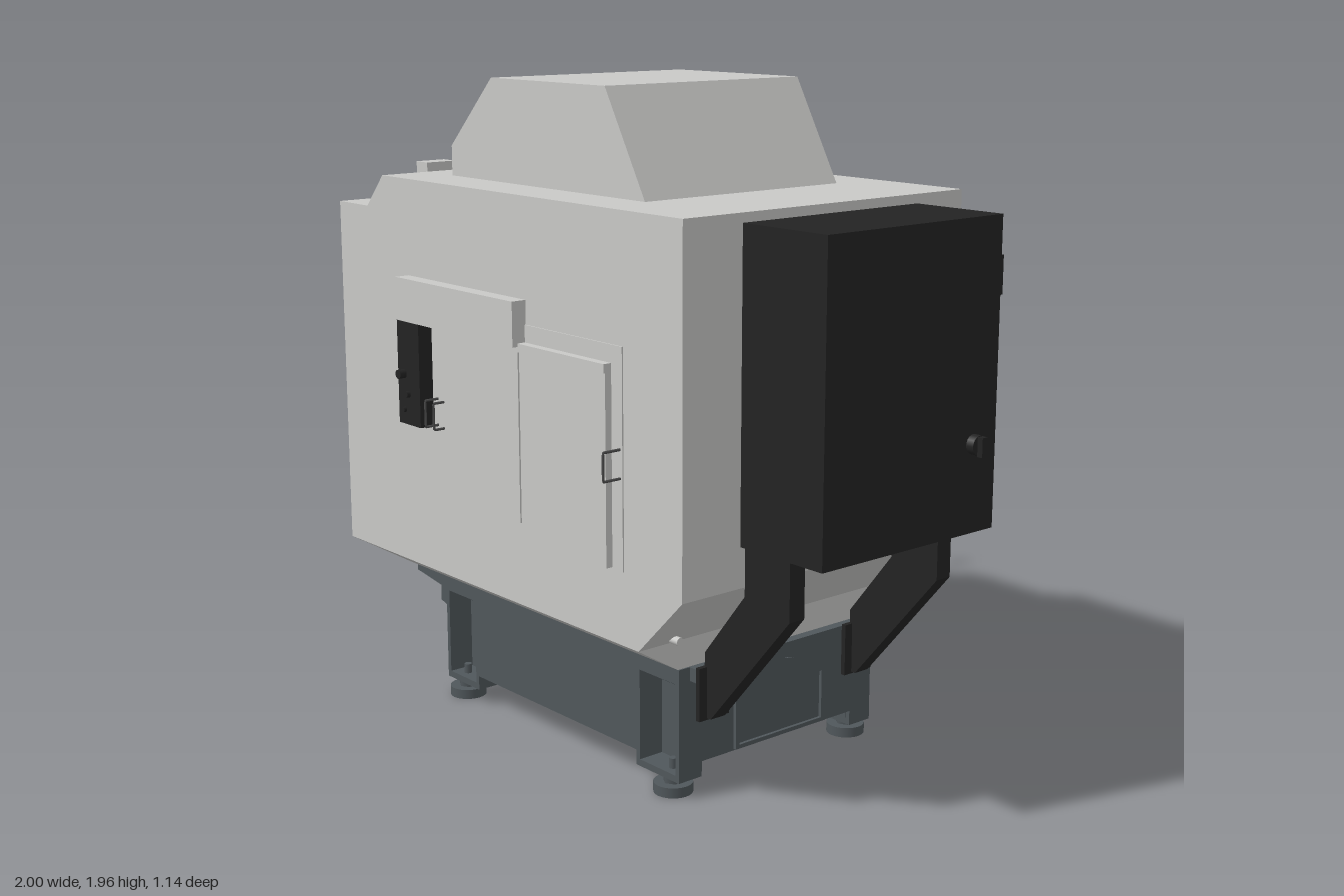
import * as THREE from 'three';

const mat = (name, color, side = THREE.FrontSide) => {
  const m = new THREE.MeshStandardMaterial({ color, side });
  m.name = name;
  return m;
};

export function createModel() {
  const grey = mat('light grey sheet metal', 0xc9c9c7, THREE.DoubleSide);
  const iron = mat('slate cast base', 0x50575b);
  const black = mat('black cabinet', 0x232323);
  const steel = mat('dark steel trim', 0x4a4a4a);
  const orange = mat('amber lamp', 0xcf8420);
  const root = new THREE.Group();
  root.name = 'machiningCentre';

  const add = (name, geo, material) => {
    const m = new THREE.Mesh(geo, material);
    m.name = name;
    root.add(m);
    return m;
  };
  // Box given by its limits on each axis
  const box = (name, material, x0, x1, y0, y1, z0, z1) =>
    add(name, new THREE.BoxGeometry(x1 - x0, y1 - y0, z1 - z0)
      .translate((x0 + x1) / 2, (y0 + y1) / 2, (z0 + z1) / 2), material);
  const cyl = (name, material, r0, r1, x, z, y0, y1, n = 20) =>
    add(name, new THREE.CylinderGeometry(r1, r0, y1 - y0, n).translate(x, (y0 + y1) / 2, z), material);
  const poly = (pts, holes = []) => {
    const s = new THREE.Shape(pts.map(p => new THREE.Vector2(...p)));
    for (const [a, b, c, d] of holes) {
      s.holes.push(new THREE.Path([[a, b], [a, d], [c, d], [c, b]].map(p => new THREE.Vector2(...p))));
    }
    return s;
  };
  // Outline in x,y drawn out along z
  const slab = (name, material, pts, z0, z1, holes) =>
    add(name, new THREE.ExtrudeGeometry(poly(pts, holes), { depth: z1 - z0, bevelEnabled: false })
      .translate(0, 0, z0), material);
  // Outline in z,y drawn out along x
  const sideSlab = (name, material, pts, x0, x1, holes) =>
    add(name, new THREE.ExtrudeGeometry(poly(pts, holes), { depth: x1 - x0, bevelEnabled: false })
      .rotateY(-Math.PI / 2).translate(x1, 0, 0), material);

  // Hollow enclosure: front and back sheets, wrapping skin and open left wall
  const outline = [[-1, 0.47], [0.46, 0.47], [0.64, 0.65], [0.64, 1.66], [-0.75, 1.66], [-0.84, 1.56], [-1, 1.56]];
  slab('enclosureFront', grey, outline, 0.47, 0.5);
  slab('enclosureBack', grey, outline, -0.545, -0.515);
  slab('enclosureSkin', grey, [...outline, [-1, 1.53], [-0.825, 1.53], [-0.735, 1.63], [0.61, 1.63],
    [0.61, 0.66], [0.45, 0.5], [-1, 0.5]], -0.515, 0.47);
  sideSlab('enclosureLeftWall', grey, [[-0.515, 0.5], [0.47, 0.5], [0.47, 1.53], [-0.515, 1.53]], -1, -0.97,
    [[-0.27, 0.505, 0.22, 1.38], [0.32, 0.58, 0.45, 0.67]]);
  box('leftShutter', grey, -0.99, -0.975, 0.5, 1.38, -0.27, -0.02);
  box('leftHatch', grey, -1.003, -1, 1.13, 1.36, 0.29, 0.47);

  // Sloping skirt under the enclosure
  const ring = (x0, y, z0, z1) => [[x0, y, z1], [0.46, y, z1], [0.46, y, z0], [x0, y, z0]];
  const top = ring(-1, 0.47, -0.545, 0.5), low = ring(-0.87, 0.385, -0.4, 0.36);
  const v = [];
  for (let i = 0; i < 4; i++) {
    const j = (i + 1) % 4;
    v.push(...low[i], ...low[j], ...top[j], ...low[i], ...top[j], ...top[i]);
  }
  const skirt = new THREE.BufferGeometry();
  skirt.setAttribute('position', new THREE.Float32BufferAttribute(v, 3));
  skirt.computeVertexNormals();
  add('skirt', skirt, grey);

  // Roof hood and its rear plate
  slab('roofHood', grey, [[-0.61, 1.66], [0.3, 1.66], [0.13, 1.96], [-0.4, 1.96], [-0.61, 1.75]], -0.385, 0.34);
  box('hoodRearPlate', grey, -0.47, -0.33, 1.7, 1.84, -0.39, -0.385);
  box('roofBox', grey, -0.965, -0.905, 1.56, 1.67, 0.13, 0.235);

  // Front door, frame and header
  slab('doorFrame', grey, [[-0.47, 0.68], [0.4, 0.68], [0.4, 1.3], [-0.47, 1.3]], 0.5, 0.504);
  box('frontDoor', grey, -0.44, 0.355, 0.685, 1.25, 0.504, 0.525);
  box('doorTopRail', grey, -0.03, 0.355, 1.225, 1.25, 0.525, 0.53);
  box('doorLeaf', grey, -0.41, -0.03, 0.73, 1.24, 0.525, 0.53);
  box('doorHeader', grey, -0.62, -0.03, 1.24, 1.37, 0.5, 0.547);
  // Rear service door with vent slots
  box('rearDoor', grey, -0.49, 0.4, 0.61, 1.27, -0.549, -0.545);
  for (let r = 0; r < 11; r++) {
    for (let c = 0; c < 4; c++) {
      const x = -0.29 + c * 0.045, y = 0.7 + r * 0.047;
      box('rearVentSlot', steel, x, x + 0.025, y, y + 0.005, -0.551, -0.549);
    }
  }
  // Bow handles
  const handle = (x, z, dir) => {
    const p = [[0.94, 0], [0.94, 0.036], [1.02, 0.036], [1.02, 0]].map(([y, d]) => new THREE.Vector3(x, y, z + dir * d));
    const path = new THREE.CurvePath();
    for (let i = 0; i < 3; i++) path.add(new THREE.LineCurve3(p[i], p[i + 1]));
    add('doorHandle', new THREE.TubeGeometry(path, 24, 0.004, 6), steel);
  };
  handle(-0.455, 0.504, 1.6);
  handle(-0.405, 0.53, 1);
  handle(0.39, 0.504, 1.6);
  handle(-0.38, -0.535, -1);
  handle(0.31, -0.535, -1);

  // Control panel with buttons
  box('controlPanel', black, -0.62, -0.505, 0.925, 1.24, 0.5, 0.547);
  for (const [x, y, r, d] of [[-0.588, 1.08, 0.014, 0.022], [-0.565, 1.02, 0.01, 0.012], [-0.585, 0.97, 0.008, 0.01]]) {
    add('controlButton', new THREE.CylinderGeometry(r, r, d, 14).rotateX(Math.PI / 2)
      .translate(x, y, 0.547 + d / 2), black);
  }

  // Electrical cabinet with cooler, latch and hinges
  box('cabinet', black, 0.65, 0.958, 0.77, 1.635, -0.35, 0.305);
  box('coolerHood', black, 0.69, 0.89, 1.4, 1.51, -0.44, -0.35);
  box('coolerBody', black, 0.71, 0.87, 1.02, 1.4, -0.4, -0.35);
  box('cabinetCableBlock', black, 0.83, 0.87, 0.75, 0.77, -0.1, 0.1);
  add('cabinetLatch', new THREE.CylinderGeometry(0.028, 0.028, 0.025, 20).rotateZ(Math.PI / 2)
    .translate(0.97, 1.02, -0.26), black);
  box('latchGrip', black, 0.982, 1, 0.99, 1.045, -0.27, -0.25);
  for (const z of [-0.31, 0.26]) box('cabinetHinge', black, 0.64, 0.65, 0.85, 1.55, z - 0.025, z + 0.025);
  // Cranked cabinet brackets
  for (const z of [0.265, -0.305]) {
    slab('cabinetBracket', black, [[0.495, 0.24], [0.52, 0.24], [0.828, 0.6], [0.828, 0.77], [0.655, 0.77],
      [0.655, 0.63], [0.495, 0.43]], z - 0.027, z + 0.027);
    box('bracketFlange', black, 0.49, 0.505, 0.235, 0.39, z - 0.055, z + 0.055);
  }
  // Bolts on the lower right slope
  for (const z of [0.39, -0.435]) {
    add('slopeBolt', new THREE.CylinderGeometry(0.012, 0.012, 0.04, 12).rotateZ(Math.PI / 2)
      .translate(0.485, 0.485, z), grey);
  }

  // Cast base: core and two side plates with pocketed legs
  box('baseCore', iron, -0.67, 0.465, 0.095, 0.385, -0.315, 0.275);
  const side = [[-0.67, 0.05], [-0.5, 0.05], [-0.5, 0.095], [0.28, 0.095], [0.28, 0.05], [0.465, 0.05],
    [0.465, 0.385], [-0.67, 0.385]];
  const pockets = [[-0.655, 0.07, -0.515, 0.34], [0.295, 0.07, 0.45, 0.34]];
  for (const [z0, z1, out] of [[0.275, 0.36, 1], [-0.4, -0.315, -1]]) {
    slab('baseSide', iron, side, z0, z1, pockets);
    const face = out > 0 ? z0 : z1;
    for (const [x0, , x1] of pockets) {
      // Pocket back wall and sloping roof
      box('pocketBack', iron, x0, x1, 0.07, 0.34, face - 0.003, face + 0.003);
      const roof = sideSlab('pocketRoof', iron, out > 0
        ? [[face, 0.29], [face + 0.075, 0.34], [face, 0.34]]
        : [[face, 0.29], [face, 0.34], [face - 0.075, 0.34]], x0, x1);
      roof.castShadow = false;
    }
    // Levelling feet
    const z = out > 0 ? 0.325 : -0.365;
    for (const x of [-0.61, 0.4]) {
      cyl('footStud', iron, 0.012, 0.012, x, z, 0.03, 0.1, 12);
      cyl('footNut', iron, 0.03, 0.03, x, z, 0.03, 0.05, 6);
      cyl('footPad', iron, 0.057, 0.057, x, z, 0, 0.03, 24);
    }
  }
  // Left stepped ledge
  slab('baseLedge', iron, [[-0.67, 0.25], [-0.67, 0.385], [-0.895, 0.385], [-0.895, 0.345], [-0.76, 0.325],
    [-0.76, 0.275]].reverse(), -0.36, 0.32);
  // Right end apron with a dished lower edge, coolant spout and access panel
  const apron = new THREE.Shape();
  apron.moveTo(-0.36, 0.385);
  apron.lineTo(-0.36, 0.345);
  apron.quadraticCurveTo(-0.02, 0.15, 0.32, 0.345);
  apron.lineTo(0.32, 0.385);
  add('endApron', new THREE.ExtrudeGeometry(apron, { depth: 0.025, bevelEnabled: false })
    .rotateY(-Math.PI / 2).translate(0.49, 0, 0), iron);
  add('endSpout', new THREE.CylinderGeometry(0.08, 0.08, 0.01, 24, 1, false, 0, Math.PI).rotateY(Math.PI / 2)
    .rotateZ(Math.PI / 2).rotateX(0).translate(0.49, 0.26, -0.02), iron);
  sideSlab('endPanelFrame', iron, [[-0.2, 0.1], [0.155, 0.1], [0.155, 0.27], [-0.2, 0.27]], 0.465, 0.475,
    [[-0.185, 0.112, 0.14, 0.26]]);
  // Underside rails
  for (const z of [-0.17, 0.13]) box('undersideRail', iron, -0.5, 0.42, 0.08, 0.095, z - 0.03, z + 0.03);

  // Signal lamp on a jointed stalk
  box('lampBase', black, -0.972, -0.92, 1.56, 1.575, -0.54, -0.485);
  cyl('lampCone', black, 0.026, 0.014, -0.95, -0.51, 1.575, 1.64);
  add('lampJoint', new THREE.SphereGeometry(0.022, 16, 12).translate(-0.952, 1.66, -0.508), black);
  cyl('lampStalk', black, 0.008, 0.008, -0.957, -0.503, 1.66, 1.74, 12);
  cyl('signalLamp', orange, 0.017, 0.017, -0.957, -0.503, 1.74, 1.85, 20);
  return root;
}
